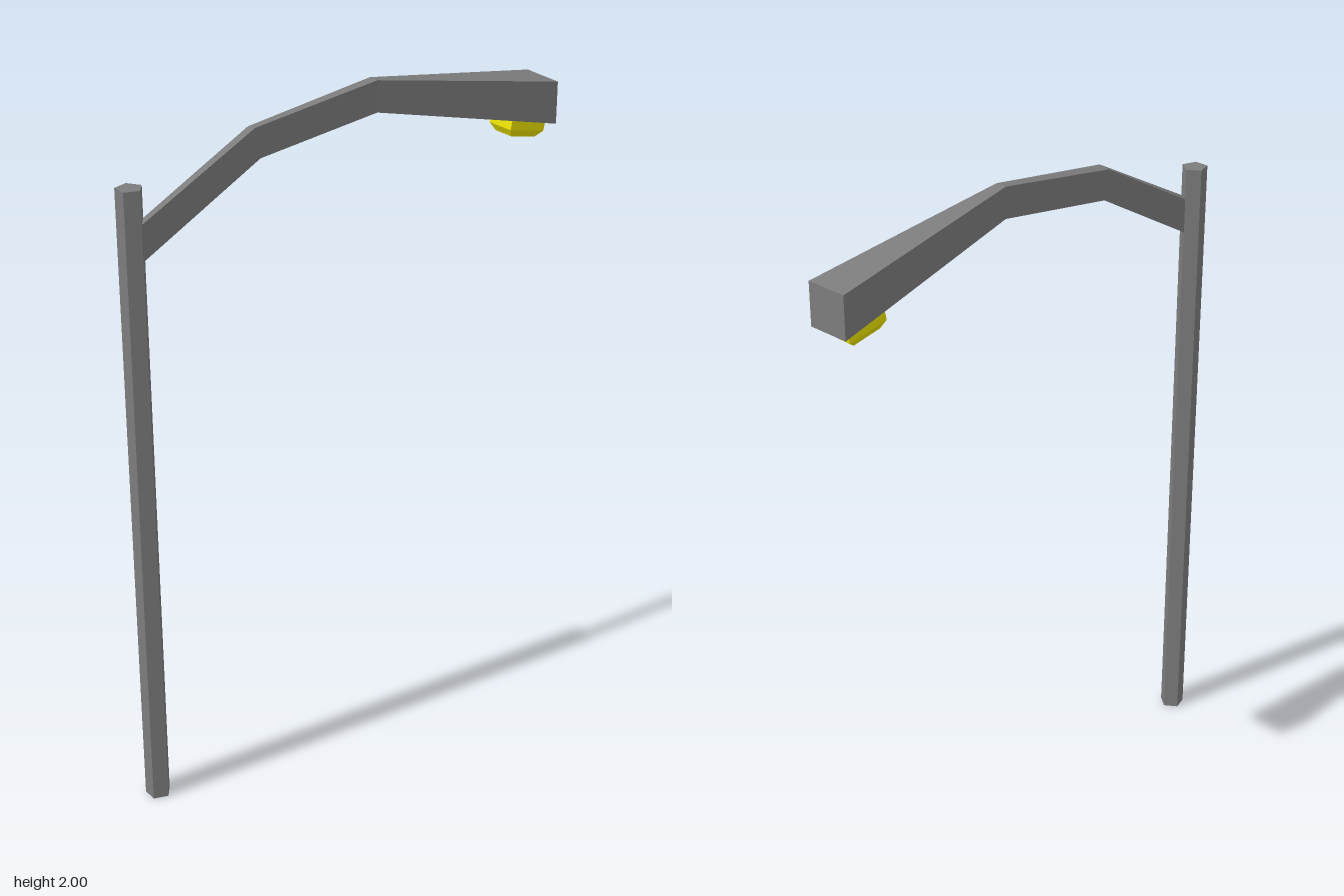
import * as THREE from 'three';

// Skins a list of four-cornered rings into a closed, flat-faced solid
function loftRings(rings) {
  const positions = [];
  const quad = (a, b, c, d) => positions.push(...a, ...b, ...c, ...a, ...c, ...d);
  for (let i = 0; i < rings.length - 1; i++) {
    const r = rings[i], s = rings[i + 1];
    for (let k = 0; k < 4; k++) {
      const n = (k + 1) % 4;
      quad(r[k], s[k], s[n], r[n]);
    }
  }
  const first = rings[0], last = rings[rings.length - 1];
  quad(first[0], first[1], first[2], first[3]);
  quad(last[3], last[2], last[1], last[0]);
  const geometry = new THREE.BufferGeometry();
  geometry.setAttribute('position', new THREE.Float32BufferAttribute(positions, 3));
  geometry.computeVertexNormals();
  return geometry;
}

export function createModel() {
  const group = new THREE.Group();
  const metal = new THREE.MeshStandardMaterial({ color: 0x7c7c7c, flatShading: true });
  const yellow = new THREE.MeshStandardMaterial({ color: 0xe8e000, flatShading: true });

  const add = (name, geometry, material) => {
    const mesh = new THREE.Mesh(geometry, material);
    mesh.name = name;
    group.add(mesh);
    return mesh;
  };

  // Five-sided pole with one corner pointing along the arm
  const pole = add('pole', new THREE.CylinderGeometry(0.037, 0.037, 1.85, 5, 1, false, Math.PI / 2), metal);
  pole.position.set(-0.659, 0.925, -0.016);

  // Bent arm widening into the lamp head: top x, top y, bottom x, bottom y, half width, drop of the back edge
  const sections = [
    [-0.648, 1.757, -0.648, 1.656, 0.017, 0.01],
    [-0.3, 1.945, -0.285, 1.86, 0.017, 0.005],
    [0.09, 2.0, 0.09, 1.911, 0.017, 0],
    [0.685, 1.9, 0.685, 1.777, 0.065, -0.003],
  ];
  const rings = sections.map(([tx, ty, bx, by, w, drop]) => [
    [bx, by, w],
    [tx, ty, w],
    [tx, ty - drop, -w],
    [bx, by - drop, -w],
  ]);
  add('armAndLampHead', loftRings(rings), metal);

  // Box-shaped lamp cover with a bevelled underside: height, half length, half width
  const coverRings = [[-0.046, 0.045, 0.034], [-0.026, 0.062, 0.046], [0.02, 0.062, 0.046]]
    .map(([y, l, w]) => [[-l, y, w], [-l, y, -w], [l, y, -w], [l, y, w]]);
  const cover = add('lampCover', loftRings(coverRings), yellow);
  cover.position.set(0.6, 1.795, 0);
  cover.rotation.z = -0.2;

  return group;
}
